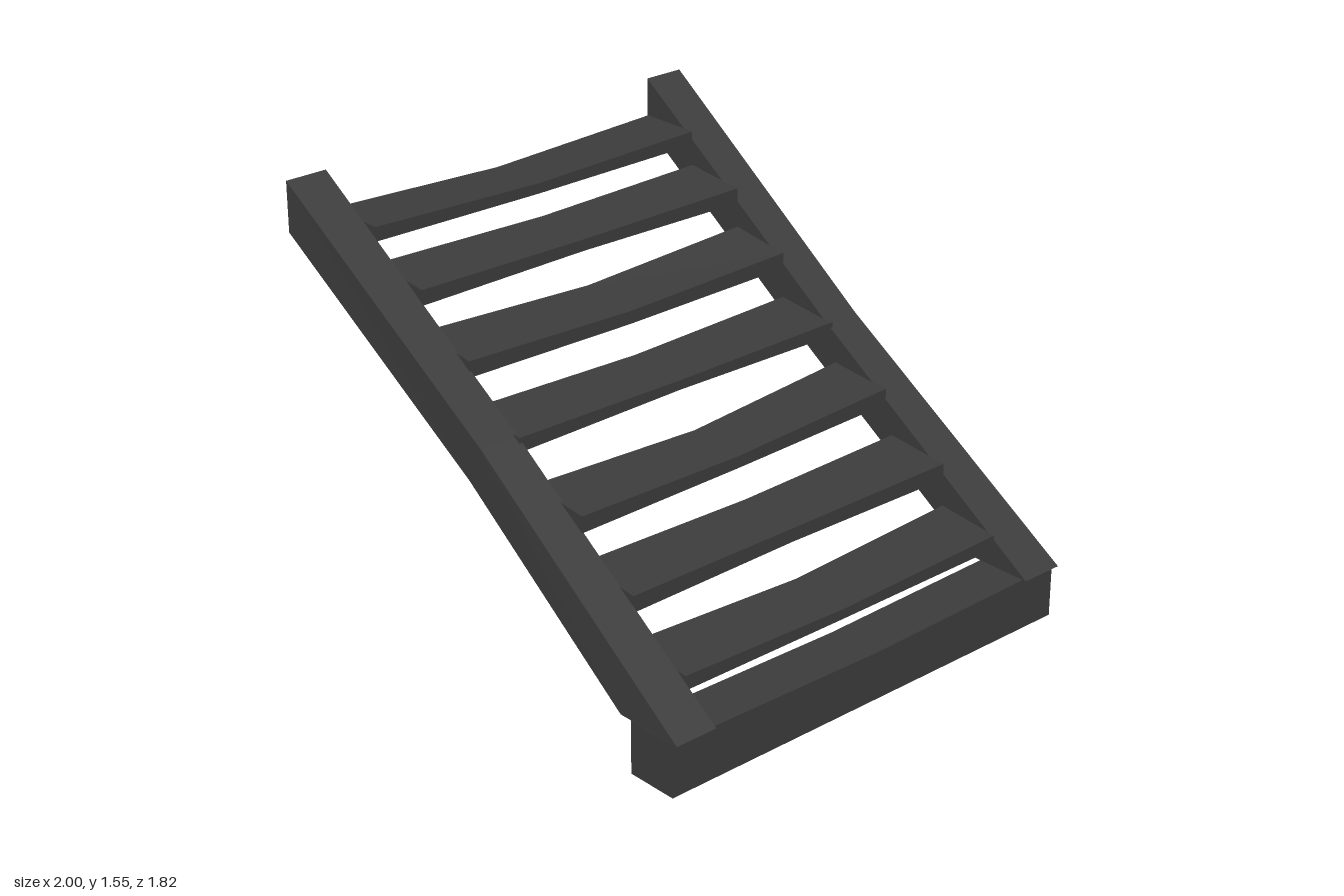
import * as THREE from 'three';

const material = new THREE.MeshStandardMaterial({ color: 0x3c3c3c, flatShading: true });

// Solid skinned over four-cornered sections, with both ends capped.
function loft(name, sections) {
  const pos = [];
  const quad = (a, b, c, d) => [a, b, c, a, c, d].forEach((p) => pos.push(...p));
  for (let s = 0; s + 1 < sections.length; s++) {
    const a = sections[s], b = sections[s + 1];
    for (let i = 0; i < 4; i++) {
      const j = (i + 1) % 4;
      quad(a[i], a[j], b[j], b[i]);
    }
  }
  quad(...[...sections[0]].reverse());
  quad(...sections[sections.length - 1]);
  const geometry = new THREE.BufferGeometry();
  geometry.setAttribute('position', new THREE.Float32BufferAttribute(pos, 3));
  geometry.computeVertexNormals();
  const mesh = new THREE.Mesh(geometry, material);
  mesh.name = name;
  return mesh;
}

// Stringer section: lower edge (xb, yb), upper edge (xt, yt), z from z0 to z1.
const stringerSection = (xb, yb, xt, yt, z0, z1) => [
  [xb, yb, z1], [xb, yb, z0], [xt, yt, z0], [xt, yt, z1],
];

// Plank section at z: x from x0 to x1, top falling by drop towards x1.
const plankSection = (z, x0, x1, top, bottom, drop) => [
  [x0, bottom + drop, z], [x1, bottom, z], [x1, top - drop, z], [x0, top, z],
];

export function createModel() {
  const group = new THREE.Group();
  group.name = 'stairs';

  // Side stringers, pinched at mid-length
  const stringer = (name, ends, mid) => loft(name, [
    stringerSection(-1, 1.36, -1, 1.55, ...ends[0]),
    stringerSection(-0.07, 0.735, 0, 0.872, ...mid),
    stringerSection(0.73, 0.2, 1, 0.2, ...ends[1]),
  ]);
  group.add(
    stringer('frontStringer', [[0.738, 0.905], [0.735, 0.905]], [0.715, 0.872]),
    stringer('backStringer', [[-0.91, -0.748], [-0.91, -0.74]], [-0.875, -0.728]),
  );

  // Treads, top to bottom: back x, front x, end top, end bottom, mid top, mid bottom, drop
  const treads = [
    [-0.985, -0.737, 1.41, 1.356, 1.385, 1.346, 0],
    [-0.735, -0.487, 1.278, 1.195, 1.265, 1.2, 0.025],
    [-0.485, -0.238, 1.103, 1.01, 1.073, 0.997, 0.032],
    [-0.232, 0.022, 0.9, 0.824, 0.885, 0.83, 0.022],
    [0.07, 0.32, 0.73, 0.644, 0.7, 0.634, 0.024],
    [0.34, 0.593, 0.537, 0.45, 0.527, 0.454, 0.025],
    [0.595, 0.845, 0.347, 0.268, 0.318, 0.259, 0.025],
  ];
  treads.forEach(([x0, x1, top, bottom, midTop, midBottom, drop], i) => {
    const skew = i === 4 ? 0.02 : 0; // one tread sits crooked
    group.add(loft(`tread${i + 1}`, [
      plankSection(-0.738, x0 - skew, x1 - skew, top, bottom, drop),
      plankSection(0, x0 + 0.008 + skew / 2, x1 - 0.008, midTop, midBottom, drop * 0.85),
      plankSection(0.728, x0 + skew, x1 + skew, top, bottom, drop),
    ]));
  });

  // Foot beam, dipping slightly in the middle
  group.add(loft('footBeam', [
    plankSection(-0.9, 0.78, 0.98, 0.199, 0, 0),
    plankSection(0, 0.78, 0.98, 0.182, 0, 0),
    plankSection(0.905, 0.78, 0.98, 0.199, 0, 0),
  ]));

  return group;
}
